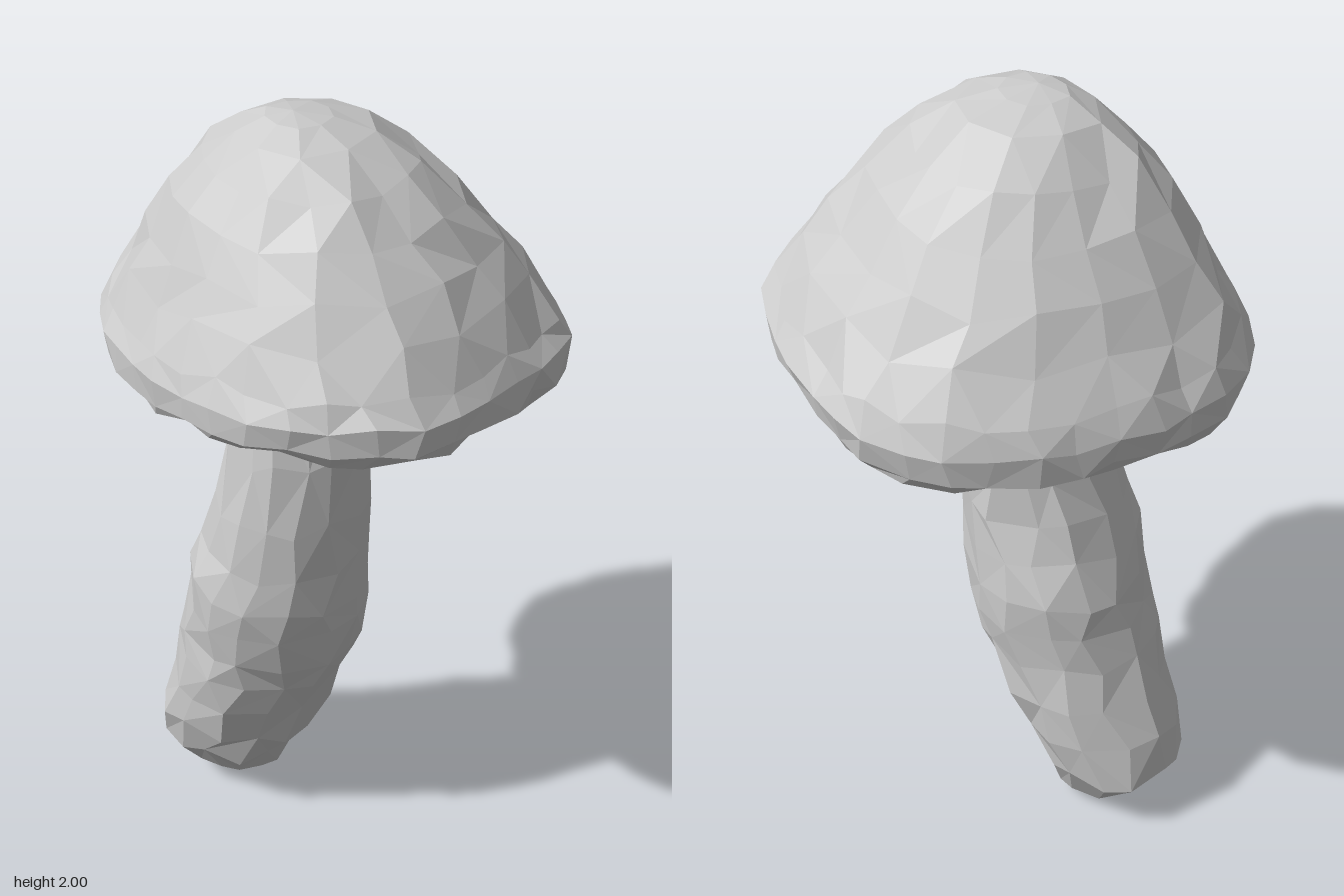
import * as THREE from 'three';

// Repeatable noise in -1..1 from a pair of indices
function noise(a, b) {
  const n = Math.sin(a * 127.1 + b * 311.7) * 43758.5453;
  return (n - Math.floor(n)) * 2 - 1;
}

// Faceted skin over rings of equal point count, ordered bottom to top
function loft(name, rings) {
  const pos = [];
  const tri = (a, b, c) => {
    if (new THREE.Triangle(a, b, c).getArea() > 1e-7) pos.push(...a, ...b, ...c);
  };
  for (let r = 0; r < rings.length - 1; r++) {
    const lo = rings[r], hi = rings[r + 1], n = lo.length;
    for (let i = 0; i < n; i++) {
      const j = (i + 1) % n;
      if ((i + r) % 2) {
        tri(lo[i], hi[i], lo[j]);
        tri(hi[i], hi[j], lo[j]);
      } else {
        tri(lo[i], hi[i], hi[j]);
        tri(lo[i], hi[j], lo[j]);
      }
    }
  }
  const geo = new THREE.BufferGeometry();
  geo.setAttribute('position', new THREE.Float32BufferAttribute(pos, 3));
  geo.computeVertexNormals();
  const mesh = new THREE.Mesh(geo, new THREE.MeshStandardMaterial({ color: 0xcccccc, flatShading: true }));
  mesh.name = name;
  return mesh;
}

// Leaning, bulging stalk
function createStem() {
  // y, left and right x, back and front z
  const rows = [
    [0.0, -0.26, -0.17, -0.25, -0.18],
    [0.06, -0.34, -0.08, -0.35, -0.11],
    [0.16, -0.41, -0.035, -0.44, -0.04],
    [0.27, -0.42, 0.0, -0.42, 0.03],
    [0.39, -0.40, 0.035, -0.375, 0.085],
    [0.5, -0.39, 0.06, -0.335, 0.125],
    [0.6, -0.38, 0.075, -0.315, 0.155],
    [0.7, -0.375, 0.085, -0.30, 0.18],
    [0.8, -0.37, 0.08, -0.26, 0.195],
    [0.9, -0.34, 0.075, -0.22, 0.195],
    [1.03, -0.315, 0.07, -0.185, 0.195],
    [1.2, -0.28, 0.055, -0.155, 0.19],
    [1.42, -0.255, 0.05, -0.15, 0.16],
  ];
  const sides = 14;
  const rings = rows.map(([y, x0, x1, z0, z1], r) => Array.from({ length: sides }, (_, i) => {
    const a = ((i + 0.25 * noise(i, r)) / sides) * Math.PI * 2;
    const k = 1 + 0.035 * noise(r + 20, i);
    const dy = r > 0 && r < rows.length - 1 ? 0.022 * noise(i + 40, r) : 0;
    return new THREE.Vector3(
      (x0 + x1) / 2 + ((x1 - x0) / 2) * Math.cos(a) * k,
      y + dy,
      (z0 + z1) / 2 + ((z1 - z0) / 2) * Math.sin(a) * k);
  }));
  const end = (x, y, z) => Array.from({ length: sides }, () => new THREE.Vector3(x, y, z));
  return loft('stem', [end(-0.215, 0, -0.215), ...rings, end(-0.1, 1.44, 0)]);
}

// Lopsided cap with a ragged rim and a nearly flat underside
function createCap() {
  const outline = [
    [0.515, -0.12], [0.50, 0.13], [0.44, 0.30], [0.22, 0.47], [0.0, 0.56], [-0.18, 0.52],
    [-0.33, 0.43], [-0.44, 0.26], [-0.51, 0.05], [-0.52, -0.15], [-0.48, -0.33], [-0.41, -0.46],
    [-0.34, -0.51], [-0.16, -0.56], [0.02, -0.555], [0.18, -0.53], [0.31, -0.47], [0.46, -0.34],
  ];
  const curve = new THREE.CatmullRomCurve3(outline.map(([x, z]) => new THREE.Vector3(x, 0, z)), true);
  const n = 36;
  const rim = curve.getSpacedPoints(n).slice(0, n);
  const rimY = (p) => 1.46 + 0.085 * p.z - 0.02 * p.x;
  const cx = -0.1, cz = -0.02;

  // Ring at fraction s of the rim; step merges neighbours toward the middle
  const ring = (s, step, seed, wobble, height) => rim.map((_, i) => {
    const k = Math.floor(i / step) * step;
    const p = rim[k].clone().lerp(rim[(k + 1) % n], 0.2 * wobble * (1 + noise(k, seed)));
    const f = s * (1 + 0.02 * wobble * noise(k + 50, seed));
    return new THREE.Vector3(
      cx + (p.x - cx) * f, height(p) + 0.016 * wobble * noise(seed, k), cz + (p.z - cz) * f);
  });

  const under = [[0, 4], [0.3, 4], [0.6, 2], [0.82, 2]].map(([s, step], r) =>
    ring(s, step, r + 1, s ? 0.6 : 0, (p) => 1.395 + (rimY(p) - 0.075 - 1.395) * s));
  const edge = [
    ring(0.94, 1, 6, 1, (p) => rimY(p) - 0.08),
    ring(0.985, 1, 7, 0.9, (p) => rimY(p) - 0.05),
    ring(0.995, 1, 8, 0.6, (p) => rimY(p) + 0.012),
  ];
  const dome = [
    [0.94, 0.13, 1], [0.84, 0.29, 2], [0.73, 0.46, 2], [0.6, 0.64, 2],
    [0.45, 0.79, 2], [0.29, 0.91, 4], [0.14, 0.98, 4], [0, 1, 4],
  ].map(([s, h, step], r) =>
    ring(s, step, r + 10, s > 0.2 ? 1 : 0, (p) => rimY(p) + (2 - rimY(p)) * h));
  return loft('cap', [...under, ...edge, ...dome]);
}

export function createModel() {
  const group = new THREE.Group();
  group.name = 'mushroom';
  group.add(createStem(), createCap());
  return group;
}
